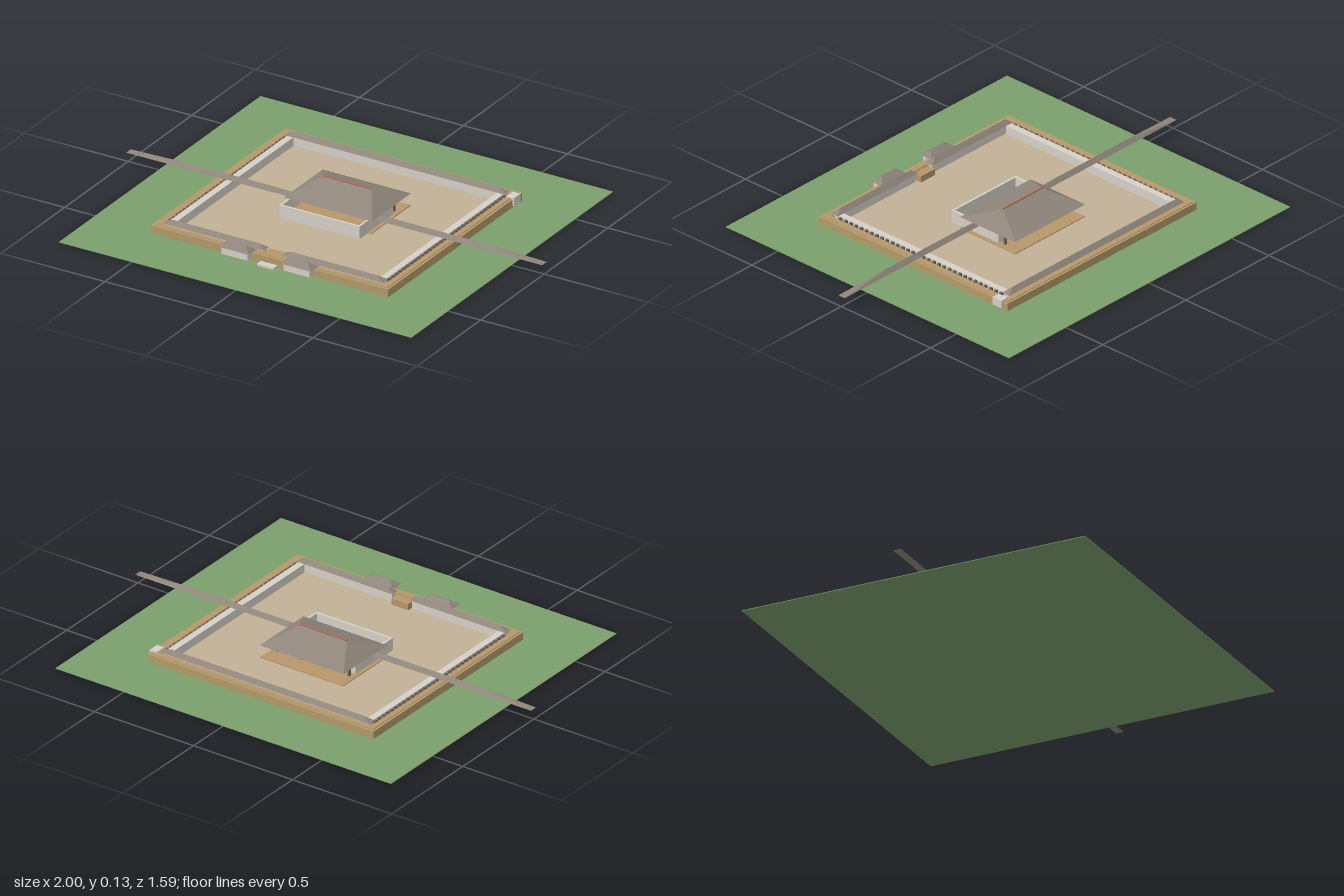
import * as THREE from 'three';

const mat = (color) => new THREE.MeshStandardMaterial({ color, flatShading: true, side: THREE.DoubleSide });
const GRASS = mat(0x7b9f6c), EARTH = mat(0xb39b69), SAND = mat(0xc0b196), TIMBER = mat(0xb8976a);
const PLASTER = mat(0xd6d1c7), TILE = mat(0x8f857b), DARK = mat(0x6b645d), RED = mat(0xb5694a);

// Hipped roof with its eaves at y = 0, built from half sizes
function hipGeometry(w, d, h, ridge) {
  const A = [-w, 0, d], B = [w, 0, d], C = [w, 0, -d], D = [-w, 0, -d];
  const E = [-ridge, h, 0], F = [ridge, h, 0];
  const faces = [A, B, F, A, F, E, C, D, E, C, E, F, B, C, F, D, A, E, A, D, C, A, C, B];
  const g = new THREE.BufferGeometry();
  g.setAttribute('position', new THREE.Float32BufferAttribute(faces.flat(), 3));
  g.computeVertexNormals();
  return g;
}

export function createModel() {
  const model = new THREE.Group();
  model.name = 'walledCompound';

  // Box given by its limits on each axis
  const box = (name, m, x0, x1, y0, y1, z0, z1) => {
    const mesh = new THREE.Mesh(new THREE.BoxGeometry(x1 - x0, y1 - y0, z1 - z0), m);
    mesh.position.set((x0 + x1) / 2, (y0 + y1) / 2, (z0 + z1) / 2);
    mesh.name = name;
    model.add(mesh);
  };
  const hip = (name, x, y, z, w, d, h, ridge) => {
    const mesh = new THREE.Mesh(hipGeometry(w, d, h, ridge), TILE);
    mesh.position.set(x, y, z);
    mesh.name = name;
    model.add(mesh);
  };
  // Rectangular frame of four walls
  const ring = (name, m, x, y0, y1, z0, z1, t) => {
    box(name + 'Front', m, -x, x, y0, y1, z1 - t, z1);
    box(name + 'Back', m, -x, x, y0, y1, z0, z0 + t);
    for (const s of [-1, 1]) {
      const c = s * (x - t / 2);
      box(name + 'Side', m, c - t / 2, c + t / 2, y0, y1, z0 + t, z1 - t);
    }
  };

  // Ground, sunken courtyard and earth bank
  box('ground', GRASS, -0.85, 0.845, 0, 0.003, -0.795, 0.79);
  box('courtyard', SAND, -0.535, 0.535, 0.003, 0.007, -0.495, 0.49);
  ring('earthBank', EARTH, 0.57, 0.003, 0.038, -0.53, 0.523, 0.04);
  ring('bankEdge', TIMBER, 0.56, 0.038, 0.041, -0.52, 0.513, 0.025);

  // Back wall with its roof
  box('backWall', PLASTER, -0.52, 0.52, 0.007, 0.05, -0.495, -0.467);
  hip('backWallRoof', 0, 0.047, -0.481, 0.528, 0.02, 0.018, 0.485);

  for (const s of [-1, 1]) {
    // Side walls with rows of outer posts, and the long roofs across them
    box('sideWall', PLASTER, s * 0.505 - 0.015, s * 0.505 + 0.015, 0.007, 0.046, -0.47, 0.462);
    for (let i = 0; i < 32; i++) {
      const z = -0.455 + i * 0.029;
      box('sidePost', DARK, s * 0.526 - 0.006, s * 0.526 + 0.006, 0.02, 0.045, z - 0.006, z + 0.006);
    }
    hip('sideWallRoof', s * 0.505, 0.047, -0.002, 0.495, 0.018, 0.018, 0.23);

    // Front wall halves with roofs
    box('frontWall', PLASTER, s * 0.285 - 0.235, s * 0.285 + 0.235, 0.007, 0.05, 0.465, 0.491);
    hip('frontWallRoof', s * 0.285, 0.047, 0.478, 0.243, 0.02, 0.018, 0.205);

    // Gatehouses
    const gx = s * 0.149 - 0.002;
    box('gatehouse', PLASTER, gx - 0.063, gx + 0.063, 0.013, 0.047, 0.505, 0.553);
    hip('gatehouseRoof', gx, 0.045, 0.528, 0.074, 0.032, 0.02, 0.04);
  }

  // Gate passage and front step
  box('gatePassage', TIMBER, -0.045, 0.04, 0.007, 0.036, 0.445, 0.5);
  box('gateStep', PLASTER, -0.042, 0.038, 0.003, 0.012, 0.523, 0.554);

  // Corner tower
  box('cornerTower', PLASTER, 0.54, 0.577, 0.01, 0.046, -0.505, -0.455);

  // Main hall: floor, open-topped wall, posts, roof and ridge
  box('hallFloor', TIMBER, -0.21, 0.21, 0.007, 0.011, -0.24, 0.07);
  ring('hallWall', PLASTER, 0.193, 0.007, 0.064, -0.13, 0.132, 0.01);
  for (const x of [-0.18, -0.06, 0.06, 0.18])
    box('hallPost', DARK, x - 0.005, x + 0.005, 0.011, 0.068, -0.162, -0.152);
  hip('hallRoof', 0, 0.065, -0.087, 0.212, 0.153, 0.059, 0.118);
  box('hallRidge', RED, -0.118, 0.118, 0.121, 0.127, -0.09, -0.084);

  return model;
}
